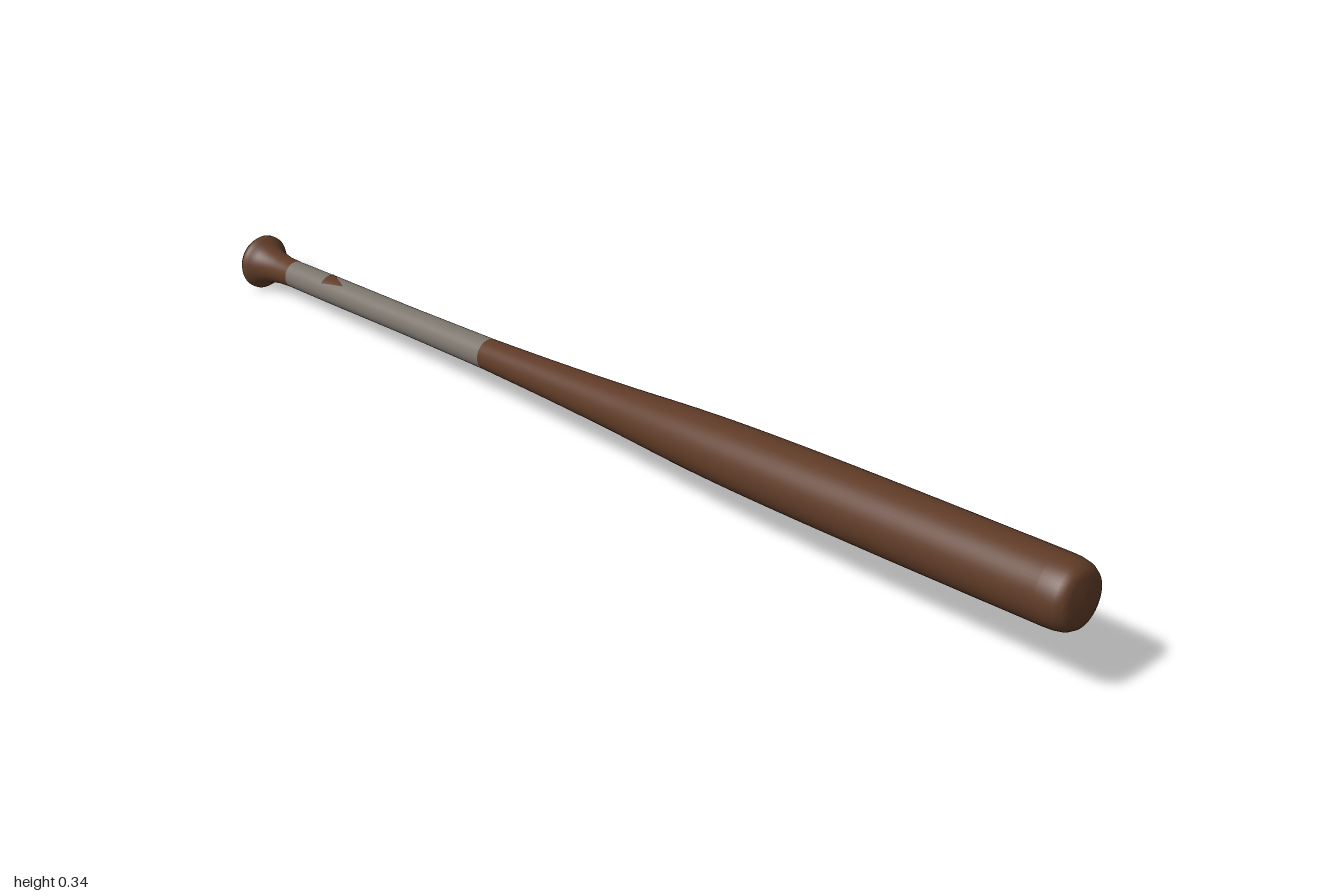
import * as THREE from 'three';

const wood = new THREE.MeshStandardMaterial({ name: 'brown wood', color: 0x5f3b27 });
const tape = new THREE.MeshStandardMaterial({ name: 'grey grip tape', color: 0x7c756d });

// Profiles are [radius, distance from the knob end].
const KNOB = [[0, 0], [0.054, 0], [0.064, 0.004], [0.07, 0.013], [0.07, 0.022], [0.064, 0.032],
  [0.051, 0.044], [0.043, 0.068], [0.037, 0.105], [0.035, 0.15]];
const GRIP = [[0.035, 0.15], [0.036, 0.3], [0.036, 0.6], [0.039, 0.9]];
const TAPER = [[0.039, 0.9], [0.046, 1.12], [0.056, 1.35], [0.071, 1.62], [0.078, 1.88], [0.081, 2.2], [0.082, 2.62]];
const END = [[0.082, 2.62], [0.081, 2.645], [0.077, 2.667], [0.068, 2.682], [0.052, 2.689], [0, 2.692]];

function turned(name, profile, material, samples = 0) {
  let points = profile.map(([r, s]) => new THREE.Vector2(r, s));
  if (samples) points = new THREE.SplineCurve(points).getPoints(samples);
  const mesh = new THREE.Mesh(new THREE.LatheGeometry(points, 48), material);
  mesh.name = name;
  return mesh;
}

// Tapering patch of bare wood that hugs the upper side of the grip (+z before tilting).
function gripPatch() {
  const rows = 4, cols = 8, r = 0.0375;
  const geo = new THREE.PlaneGeometry(1, 1, cols, rows);
  const pos = geo.attributes.position;
  for (let i = 0; i < pos.count; i++) {
    const u = pos.getX(i), v = pos.getY(i) + 0.5;
    const angle = 0.2 + v * 0.25 + u * 1.25 * (1 - v);
    pos.setXYZ(i, r * Math.sin(angle), 0.292 + v * 0.075, r * Math.cos(angle));
  }
  geo.computeVertexNormals();
  const mesh = new THREE.Mesh(geo, wood);
  mesh.name = 'gripPatch';
  return mesh;
}

export function createModel() {
  const bat = new THREE.Group();
  bat.name = 'bat';
  bat.add(
    turned('knob', KNOB, wood),
    turned('grip', GRIP, tape),
    turned('barrel', TAPER, wood, 36),
    turned('barrelEnd', END, wood),
    gripPatch(),
  );

  // Lay the bat along the diagonal, rising a little towards the barrel.
  const along = new THREE.Vector3(0.709, 0.073, 0.701).normalize();
  const up = new THREE.Vector3(0, 1, 0).addScaledVector(along, -along.y).normalize();
  const side = new THREE.Vector3().crossVectors(along, up);
  bat.quaternion.setFromRotationMatrix(new THREE.Matrix4().makeBasis(side, along, up));
  bat.position.set(-0.951, 0.072, -0.936);

  // Patch sits towards the right edge of the grip as seen from above.
  const model = new THREE.Group();
  model.name = 'baseballBat';
  model.add(bat);
  const box = new THREE.Box3().setFromObject(model, true);
  const centre = box.getCenter(new THREE.Vector3());
  bat.position.sub(new THREE.Vector3(centre.x, box.min.y, centre.z));
  return model;
}
